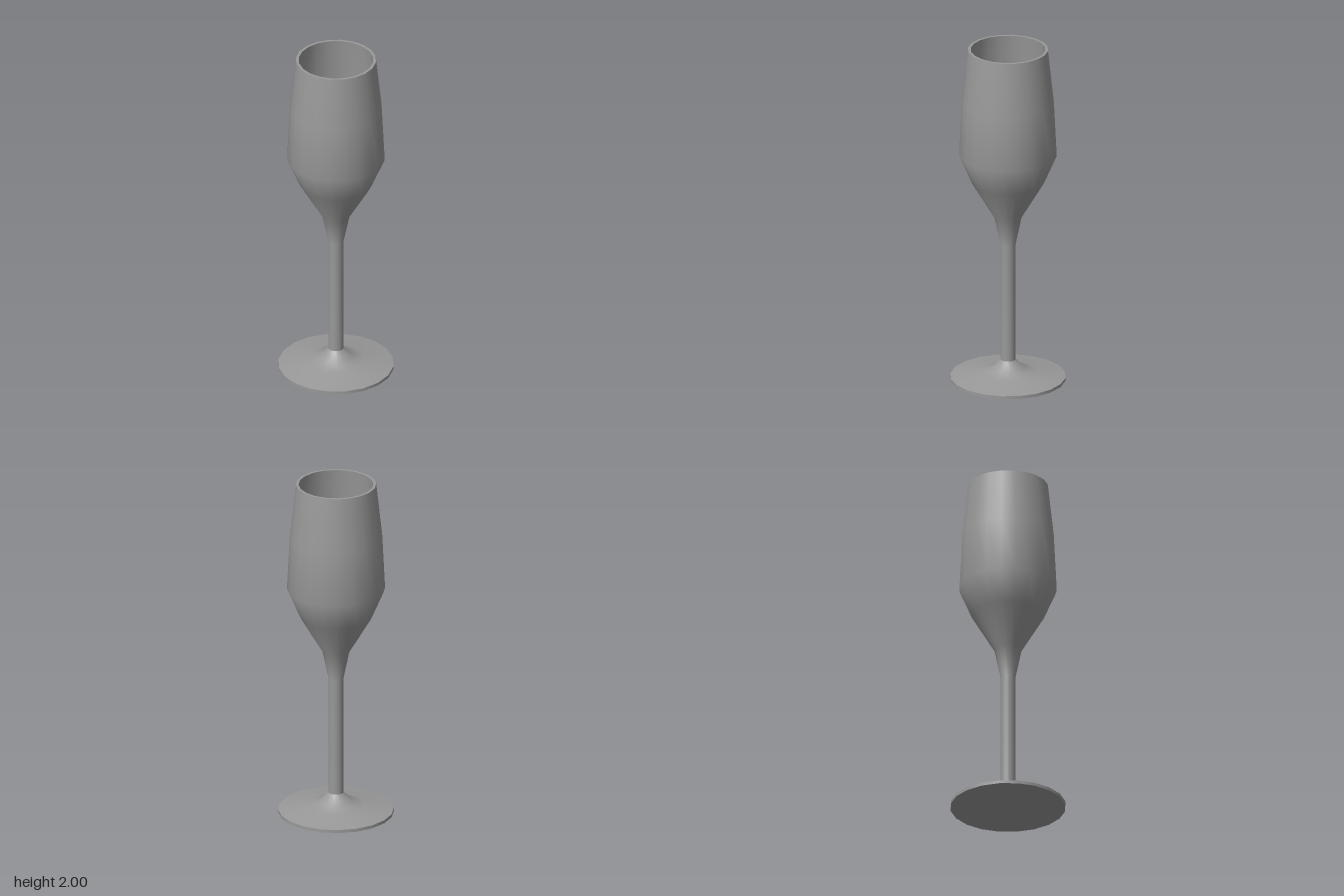
import * as THREE from 'three';

const SIDES = 20;

export function createModel() {
  const group = new THREE.Group();
  const grey = new THREE.MeshStandardMaterial({ color: 0x999999 });
  grey.name = 'grey glass';

  // Each profile is [radius, height]; a new part starts at every hard edge.
  const turn = (name, profile) => {
    const points = profile.map(([r, y]) => new THREE.Vector2(r, y));
    const mesh = new THREE.Mesh(new THREE.LatheGeometry(points, SIDES), grey);
    mesh.name = name;
    group.add(mesh);
  };

  // Foot: flat underside, thin edge, then a flared top
  turn('footUnderside', [[0, 0], [0.328, 0]]);
  turn('footEdge', [[0.328, 0], [0.328, 0.018]]);
  turn('footTop', [[0.328, 0.018], [0.16, 0.045], [0.09, 0.068], [0.043, 0.118]]);

  // Stem running smoothly into the outside of the bowl
  turn('stemAndBowl', [
    [0.043, 0.118], [0.043, 0.815], [0.077, 0.98], [0.205, 1.195],
    [0.278, 1.365], [0.262, 1.685], [0.228, 2],
  ]);

  // Rim, inner wall and flat floor of the bowl
  turn('rim', [[0.228, 2], [0.212, 2]]);
  turn('bowlInside', [[0.212, 2], [0.246, 1.685], [0.261, 1.37], [0.19, 1.205], [0.095, 1.045]]);
  turn('bowlFloor', [[0.095, 1.045], [0, 1.045]]);

  return group;
}
